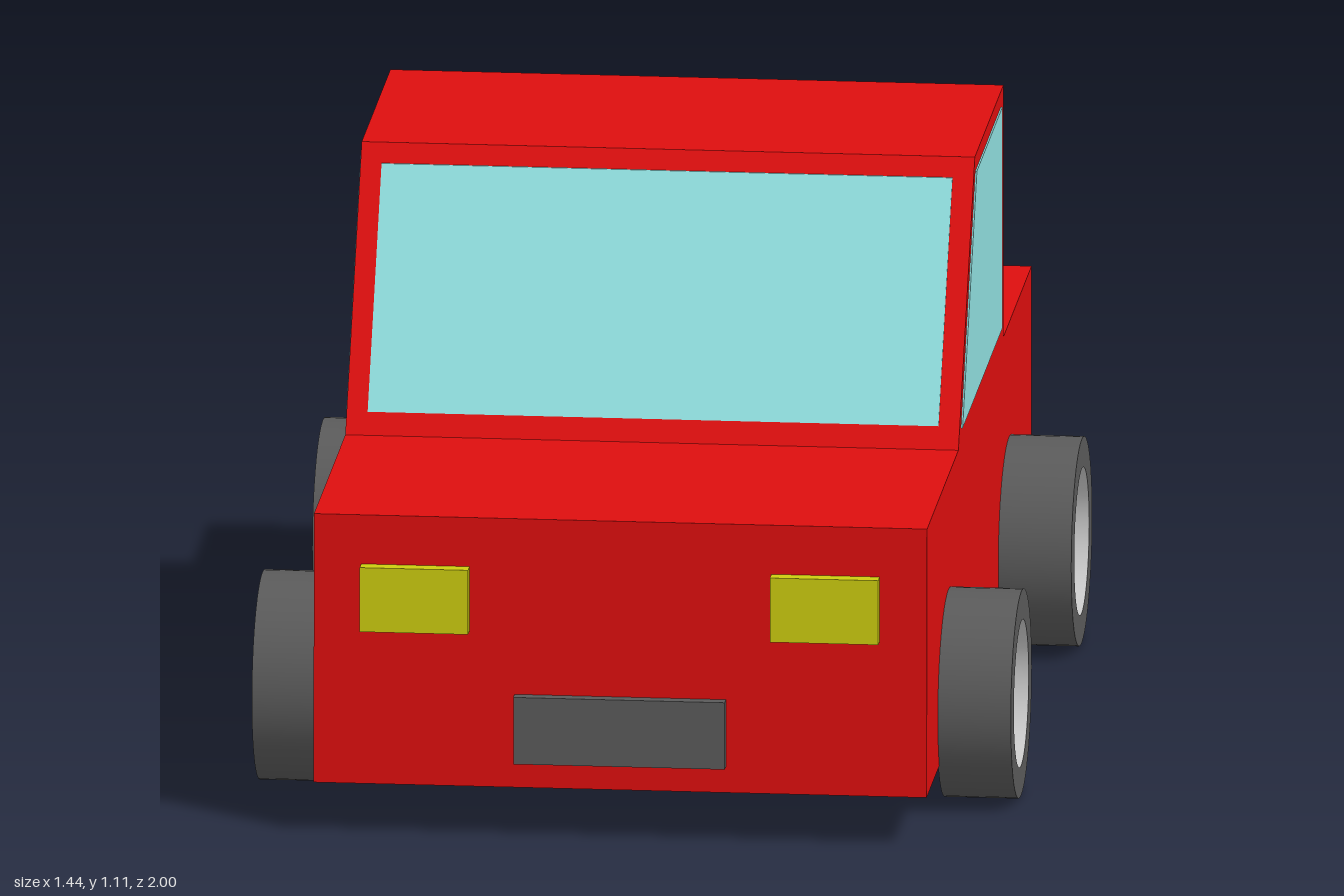
import * as THREE from 'three';

const mat = (color) => new THREE.MeshStandardMaterial({ color });

export function createModel() {
  const car = new THREE.Group();
  car.name = 'pickupTruck';
  const red = mat(0xdd0e0e), glass = mat(0x90dede), yellow = mat(0xcccc10);
  const rubber = mat(0x5a5a5a), rimGrey = mat(0xcccccc);
  const half = 0.58;

  const add = (name, geometry, material, parent = car) => {
    const mesh = new THREE.Mesh(geometry, material);
    mesh.name = name;
    parent.add(mesh);
    return mesh;
  };

  // Side outline given as [z, y], extruded across x and centred
  const sidePrism = (points, width) => {
    const shape = new THREE.Shape(points.map(([z, y]) => new THREE.Vector2(-z, y)));
    const geo = new THREE.ExtrudeGeometry(shape, { depth: width, bevelEnabled: false });
    return geo.translate(0, 0, -width / 2).rotateY(Math.PI / 2);
  };

  // Body and cabin
  add('body', sidePrism([[0.98, 0.1], [-1, 0.1], [-1, 0.62], [0.97, 0.62]], half * 2), red);
  add('cabin', sidePrism([[0.38, 0.62], [-0.47, 0.62], [-0.47, 1.11], [0.07, 1.11]], half * 2), red);

  // Windows: thin panes lying almost flush with the cabin
  const lift = 0.003;
  add('sideWindows', sidePrism([[0.33, 0.65], [-0.42, 0.65], [-0.42, 1.08], [0.06, 1.08]],
    (half + lift) * 2), glass);
  const slopeZ = (y) => 0.38 - 0.31 * (y - 0.62) / 0.49;
  const [low, high] = [0.66, 1.075];
  add('windshield', sidePrism([
    [slopeZ(low) + lift, low], [slopeZ(low) - 0.01, low],
    [slopeZ(high) - 0.01, high], [slopeZ(high) + lift, high]], 1.08), glass);
  add('rearWindow', new THREE.BoxGeometry(1.12, 0.43, 0.01), glass)
    .position.set(0, 0.86, -0.468);

  // Headlights and grille
  for (const side of [1, -1]) {
    add(side > 0 ? 'leftHeadlight' : 'rightHeadlight',
      new THREE.BoxGeometry(0.205, 0.125, 0.03), yellow).position.set(side * 0.388, 0.4625, 0.985);
  }
  add('grille', new THREE.BoxGeometry(0.4, 0.13, 0.03), rubber).position.set(0, 0.215, 0.985);

  // Wheels: tyre ring with a recessed hub; local y points outward
  const ring = (pairs) => new THREE.LatheGeometry(
    pairs.map(([r, y]) => new THREE.Vector2(r, y)), 48);
  const makeWheel = (name, side, z) => {
    const wheel = new THREE.Group();
    wheel.name = name;
    add('tread', new THREE.CylinderGeometry(0.198, 0.198, 0.14, 48, 1, true).translate(0, 0.07, 0), rubber, wheel);
    add('sidewall', ring([[0.198, 0.14], [0.14, 0.14]]), rubber, wheel);
    add('innerSidewall', ring([[0, 0], [0.198, 0]]), rubber, wheel);
    add('rim', ring([[0.14, 0.14], [0.14, 0.105]]), rimGrey, wheel);
    add('hub', new THREE.CylinderGeometry(0.14, 0.14, 0.1, 48).translate(0, 0.055, 0), yellow, wheel);
    wheel.rotation.z = -side * Math.PI / 2;
    wheel.position.set(side * (half - 0.002), 0.2, z);
    car.add(wheel);
  };
  for (const [name, z] of [['front', 0.57], ['rear', -0.57]]) {
    makeWheel(name + 'LeftWheel', 1, z);
    makeWheel(name + 'RightWheel', -1, z);
  }
  // Ring faces are thin open surfaces
  rubber.side = rimGrey.side = THREE.DoubleSide;
  return car;
}
